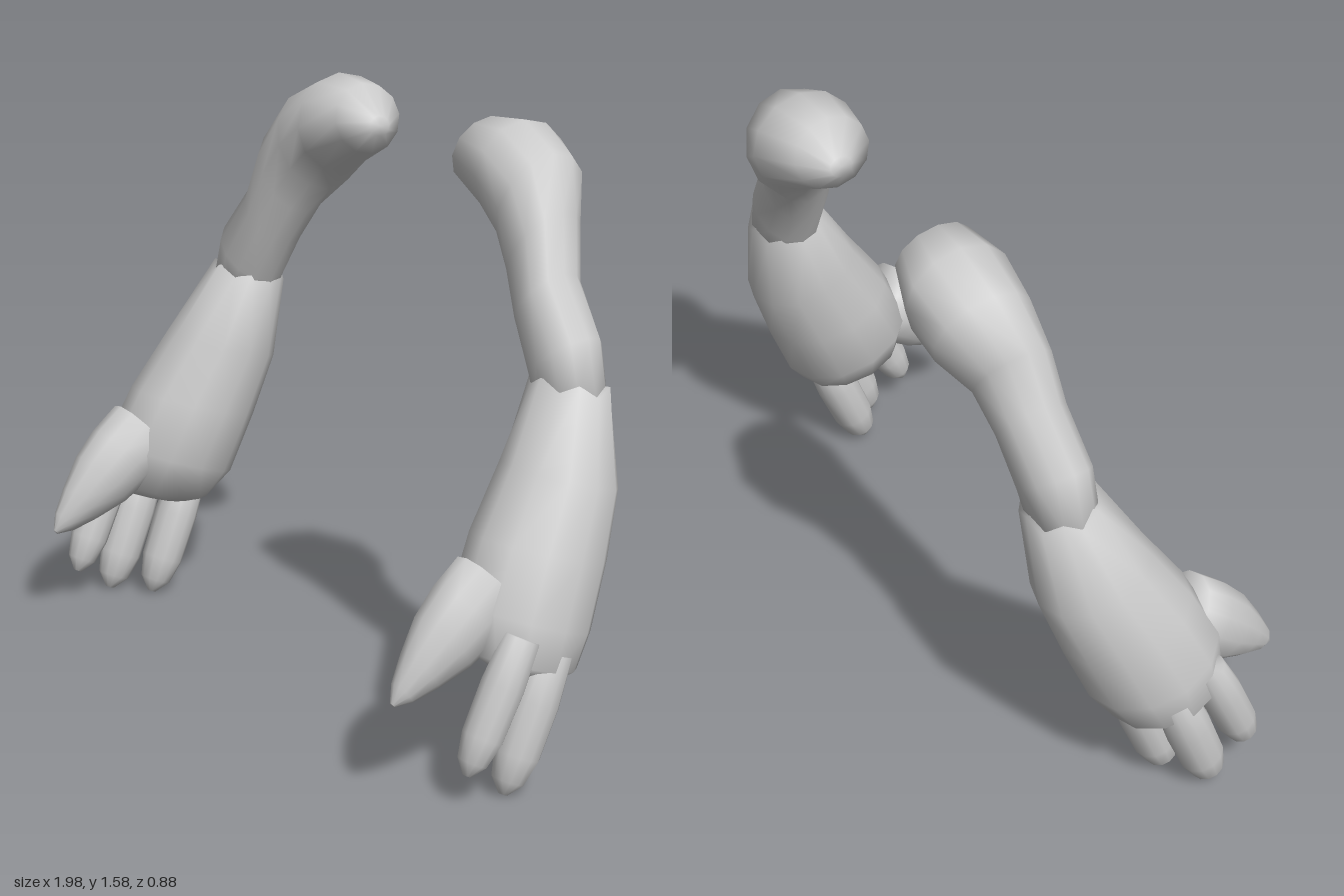
import * as THREE from 'three';

const SIDES = 12;
const V = (x, y, z) => new THREE.Vector3(x, y, z);
const material = new THREE.MeshStandardMaterial({ color: 0xcccccc });

// Skins a closed tube over elliptical rings { c: centre, u, v: half axes }.
// side = -1 mirrors it in x; scallop makes the first rim wavy.
function loft(name, rings, side, scallop = 0) {
  const pos = [], idx = [];
  rings.forEach((r, i) => {
    for (let k = 0; k < SIDES; k++) {
      const a = (k / SIDES) * Math.PI * 2;
      const p = r.c.clone().addScaledVector(r.u, Math.cos(a)).addScaledVector(r.v, Math.sin(a));
      if (i === 0) p.y += scallop * (k % 2 ? 1 : -1);
      pos.push(p.x * side, p.y, p.z);
    }
  });
  const n = rings.length;
  for (const r of [rings[0], rings[n - 1]]) pos.push(r.c.x * side, r.c.y, r.c.z);

  // Face outward: compare the ring's turning direction with the travel direction
  const travel = rings[1].c.clone().sub(rings[0].c);
  const outward = rings[0].u.clone().cross(rings[0].v).dot(travel) * side > 0;
  const tri = (a, b, c) => (outward ? idx.push(a, b, c) : idx.push(a, c, b));
  for (let k = 0; k < SIDES; k++) {
    const m = (k + 1) % SIDES;
    for (let i = 0; i < n - 1; i++) {
      const a = i * SIDES + k, b = i * SIDES + m;
      tri(a, b, b + SIDES);
      tri(a, b + SIDES, a + SIDES);
    }
    tri(n * SIDES, m, k);
    tri(n * SIDES + 1, (n - 1) * SIDES + k, (n - 1) * SIDES + m);
  }
  const g = new THREE.BufferGeometry();
  g.setAttribute('position', new THREE.Float32BufferAttribute(pos, 3));
  g.setIndex(idx);
  g.computeVertexNormals();
  const mesh = new THREE.Mesh(g, material);
  mesh.name = name;
  return mesh;
}

// Upper arm ring: inner xy, outer xy, back z, front z
const armRing = ([xi, yi, xo, yo, z0, z1]) => ({
  c: V((xi + xo) / 2, (yi + yo) / 2, (z0 + z1) / 2),
  u: V((xo - xi) / 2, (yo - yi) / 2, 0),
  v: V(0, 0, (z1 - z0) / 2),
});

// Forearm ring: front zy, back zy, inner x, outer x
const handRing = ([zf, yf, zb, yb, x0, x1]) => ({
  c: V((x0 + x1) / 2, (yf + yb) / 2, (zf + zb) / 2),
  u: V((x1 - x0) / 2, 0, 0),
  v: V(0, (yf - yb) / 2, (zf - zb) / 2),
});

// Finger along a straight axis; profile holds [position, thickness] pairs
function fingerRings(base, tip, rx, rz, profile) {
  const d = tip.clone().sub(base).normalize();
  const u = V(1, 0, 0).addScaledVector(d, -d.x).normalize();
  const v = u.clone().cross(d);
  return profile.map(([t, s]) => ({
    c: base.clone().lerp(tip, t),
    u: u.clone().multiplyScalar(rx * s),
    v: v.clone().multiplyScalar(rz * s),
  }));
}

const UPPER_ARM = [
  [0.2, 1.44, 0.21, 1.495, -0.315, -0.25],
  [0.235, 1.385, 0.28, 1.575, -0.39, -0.17],
  [0.38, 1.31, 0.405, 1.585, -0.44, -0.14],
  [0.43, 1.25, 0.54, 1.52, -0.415, -0.14],
  [0.48, 1.18, 0.63, 1.39, -0.34, -0.13],
  [0.54, 1.08, 0.67, 1.24, -0.305, -0.115],
  [0.605, 0.96, 0.785, 1.1, -0.29, -0.1],
  [0.63, 0.91, 0.825, 0.95, -0.28, -0.1],
];
const FOREARM = [
  [-0.095, 0.985, -0.293, 0.95, 0.607, 0.832],
  [0.03, 0.8, -0.28, 0.7, 0.613, 0.915],
  [0.14, 0.64, -0.22, 0.53, 0.618, 0.96],
  [0.215, 0.49, -0.15, 0.36, 0.635, 0.987],
  [0.215, 0.37, -0.09, 0.28, 0.7, 0.985],
  [0.17, 0.33, -0.04, 0.265, 0.77, 0.95],
];
const FINGER = [[0, 0.85], [0.35, 1], [0.72, 0.95], [0.9, 0.7], [1, 0.2]];
const THUMB = [[0, 1.1], [0.25, 1.12], [0.48, 1], [0.72, 0.68], [0.9, 0.38], [1, 0.08]];
const DIGITS = [
  ['thumb', V(0.8, 0.52, 0.13), V(0.8, 0.268, 0.43), 0.085, 0.1, THUMB],
  ['frontFinger', V(0.935, 0.42, 0.13), V(0.92, 0.085, 0.288), 0.056, 0.058, FINGER],
  ['middleFinger', V(0.935, 0.36, 0.03), V(0.925, 0.008, 0.175), 0.06, 0.065, FINGER],
  ['rearFinger', V(0.82, 0.36, -0.045), V(0.82, 0.01, 0.095), 0.062, 0.062, FINGER],
];

export function createModel() {
  const model = new THREE.Group();
  for (const side of [1, -1]) {
    const arm = new THREE.Group();
    arm.name = side > 0 ? 'leftArm' : 'rightArm';
    arm.add(loft('upperArm', UPPER_ARM.map(armRing), side));
    arm.add(loft('forearmAndPalm', FOREARM.map(handRing), side, 0.014));
    for (const [name, ...spec] of DIGITS) arm.add(loft(name, fingerRings(...spec), side));
    model.add(arm);
  }
  return model;
}
